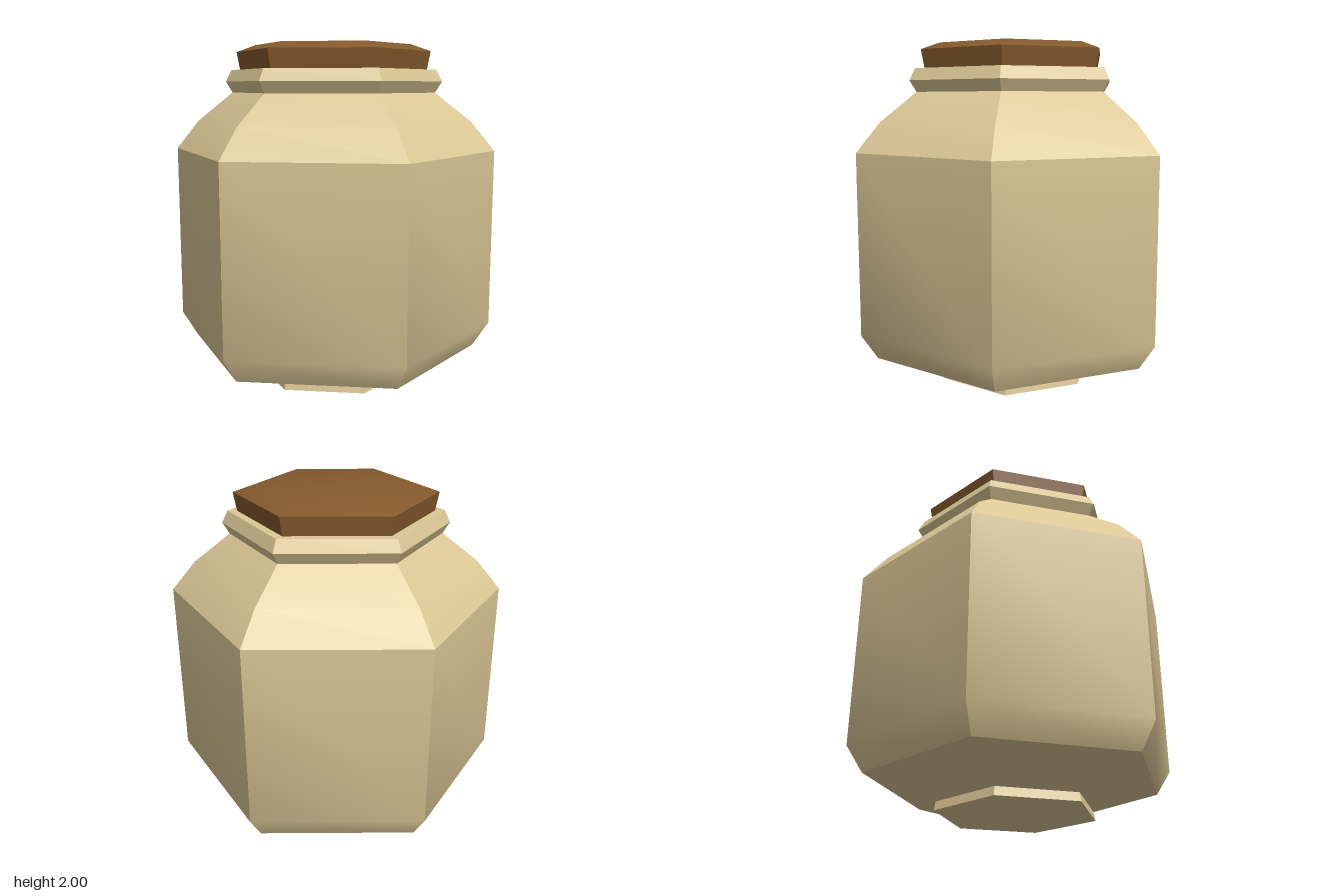
import * as THREE from 'three';
import { toCreasedNormals } from 'three/addons/utils/BufferGeometryUtils.js';

const SIDES = 6;
const CREASE = THREE.MathUtils.degToRad(30);

// Six-sided turned part from [corner radius, height] pairs, listed bottom to top
function hexPart(name, material, profile) {
  const points = profile.map(([r, y]) => new THREE.Vector2(r, y));
  const geometry = toCreasedNormals(new THREE.LatheGeometry(points, SIDES), CREASE);
  const mesh = new THREE.Mesh(geometry, material);
  mesh.name = name;
  return mesh;
}

export function createModel() {
  const jar = new THREE.Group();
  jar.name = 'jar';
  const clay = new THREE.MeshStandardMaterial({ color: 0xdcc896 });
  const wood = new THREE.MeshStandardMaterial({ color: 0x855a2d });

  // Small foot with a closed underside
  jar.add(hexPart('foot', clay, [[0, 0], [0.47, 0], [0.46, 0.05]]));

  // Sloped base, straight walls and rounded shoulder
  jar.add(hexPart('body', clay, [
    [0.46, 0.05], [0.87, 0.18], [0.965, 0.325], [0.965, 1.38], [0.825, 1.55], [0.61, 1.72],
  ]));

  // Flared rim, closed beneath the lid
  jar.add(hexPart('rim', clay, [[0.61, 1.72], [0.65, 1.785], [0.615, 1.853], [0, 1.853]]));

  // Lid with a softly bevelled top
  jar.add(hexPart('lid', wood, [[0.56, 1.853], [0.58, 1.96], [0.465, 2], [0, 2]]));

  return jar;
}
